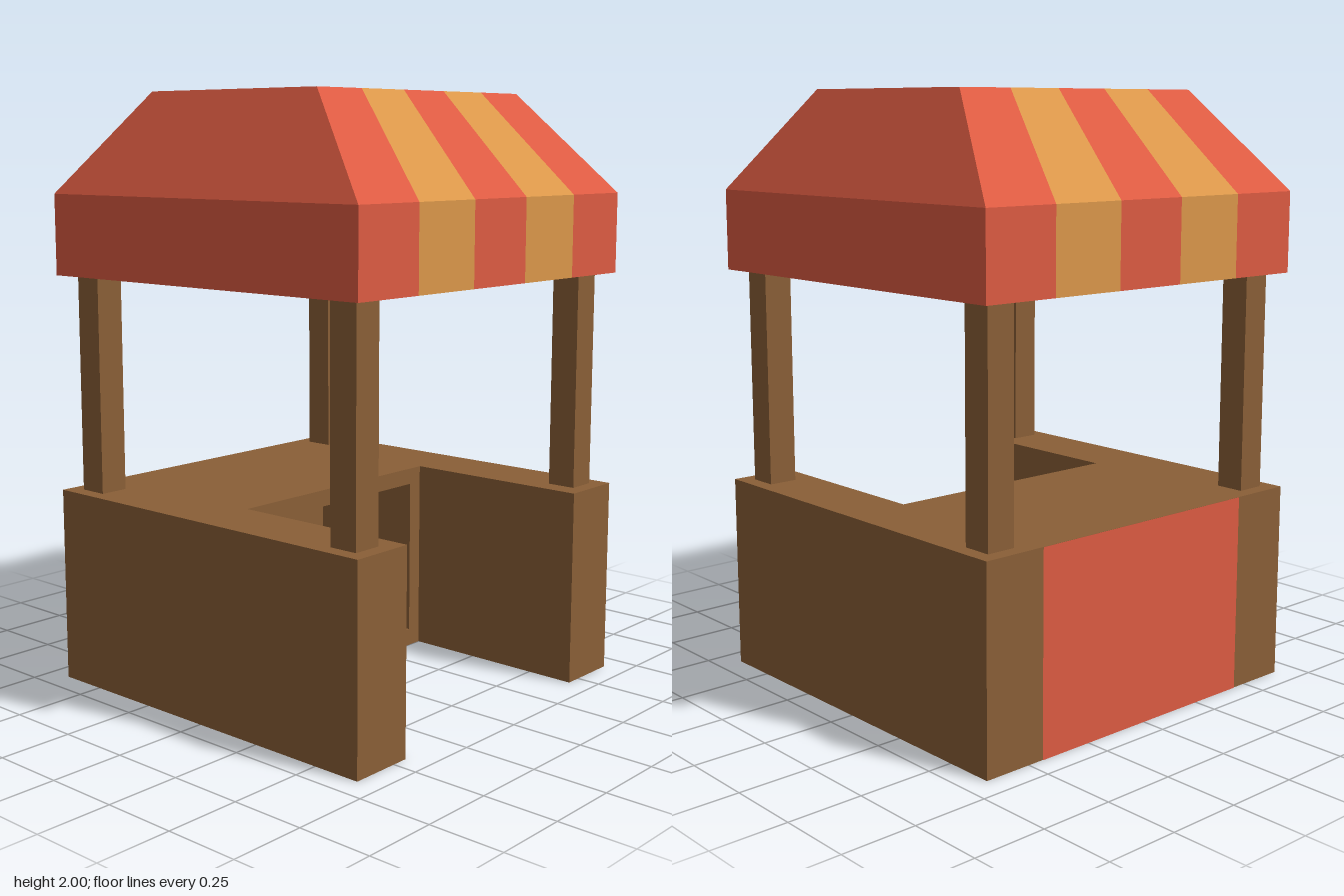
import * as THREE from 'three';

const RED = 0xdd5b42, YELLOW = 0xdb974a, WOOD = 0x8a5f37;
const HALF = 0.667, ARM = 0.222, COUNTER = 0.667;

const material = (color) => new THREE.MeshStandardMaterial({ color, flatShading: true });

function add(group, name, geometry, mat, x = 0, y = 0, z = 0) {
  const mesh = new THREE.Mesh(geometry, mat);
  mesh.name = name;
  mesh.position.set(x, y, z);
  group.add(mesh);
  return mesh;
}

// Flat quads, corners counter-clockwise seen from the front
function quadGeometry(quads) {
  const pos = quads.flatMap(([a, b, c, d]) => [a, b, c, a, c, d].flat());
  const g = new THREE.BufferGeometry();
  g.setAttribute('position', new THREE.Float32BufferAttribute(pos, 3));
  g.computeVertexNormals();
  return g;
}

function createCounter(wood, red) {
  const g = new THREE.Group();
  g.name = 'counter';
  const nicheDepth = 0.43;

  // Two side arms reaching forward
  for (const s of [-1, 1]) {
    add(g, s > 0 ? 'leftArm' : 'rightArm', new THREE.BoxGeometry(ARM, COUNTER, HALF), wood,
      s * (HALF - ARM / 2), COUNTER / 2, HALF / 2);
  }

  // Rear block with a storage niche open to the front
  const face = new THREE.Shape([[-HALF, 0], [HALF, 0], [HALF, COUNTER], [-HALF, COUNTER]]
    .map(([x, y]) => new THREE.Vector2(x, y)));
  face.holes.push(new THREE.Path([[-0.39, 0.06], [-0.39, 0.61], [0.39, 0.61], [0.39, 0.06]]
    .map(([x, y]) => new THREE.Vector2(x, y))));
  add(g, 'shelfNiche', new THREE.ExtrudeGeometry(face, { depth: nicheDepth, bevelEnabled: false }), wood,
    0, 0, -nicheDepth);
  const backDepth = HALF - nicheDepth;
  add(g, 'backWall', new THREE.BoxGeometry(2 * HALF, COUNTER, backDepth), wood,
    0, COUNTER / 2, -HALF + backDepth / 2);

  // Painted panel on the outside of the back
  add(g, 'backPanel', new THREE.PlaneGeometry(2 * (HALF - ARM), COUNTER), red,
    0, COUNTER / 2, -HALF - 0.002).rotation.y = Math.PI;
  return g;
}

function createCanopy(red, yellow) {
  const g = new THREE.Group();
  g.name = 'canopy';
  // Rings from the inner ceiling, round the lower rim, up to the roof: half width, height, half depth
  const rings = [
    [0.44, 1.67, 0.44],
    [0.517, 1.4, 0.517],
    [HALF, 1.4, HALF],
    [HALF, 1.67, HALF],
    [0.5, 2, 0.36],
  ];
  const stripes = [-1, -0.6, -0.2, 0.2, 0.6, 1];
  const redQuads = [], yellowQuads = [];
  const point = ([w, y, d], u, v) => [w * u, y, d * v];

  for (let k = 0; k < 5; k++) {
    const u0 = stripes[k], u1 = stripes[k + 1];
    const out = k % 2 ? yellowQuads : redQuads;
    // Front and back strips
    for (let i = 0; i < rings.length - 1; i++) {
      const a = rings[i], b = rings[i + 1];
      out.push([point(a, u0, 1), point(a, u1, 1), point(b, u1, 1), point(b, u0, 1)]);
      out.push([point(a, u1, -1), point(a, u0, -1), point(b, u0, -1), point(b, u1, -1)]);
    }
    // Roof top and ceiling
    const top = rings[4], ceil = rings[0];
    out.push([point(top, u0, 1), point(top, u1, 1), point(top, u1, -1), point(top, u0, -1)]);
    out.push([point(ceil, u0, -1), point(ceil, u1, -1), point(ceil, u1, 1), point(ceil, u0, 1)]);
  }
  // Plain sides
  for (let i = 0; i < rings.length - 1; i++) {
    const a = rings[i], b = rings[i + 1];
    for (const s of [-1, 1]) {
      redQuads.push([point(a, s, s), point(a, s, -s), point(b, s, -s), point(b, s, s)]);
    }
  }
  add(g, 'canopyRed', quadGeometry(redQuads), red);
  add(g, 'canopyStripes', quadGeometry(yellowQuads), yellow);
  return g;
}

export function createModel() {
  const model = new THREE.Group();
  model.name = 'marketStall';
  const wood = material(WOOD), red = material(RED), yellow = material(YELLOW);

  model.add(createCounter(wood, red));

  // Corner posts
  const postHeight = 1.4 - COUNTER;
  for (const x of [-0.567, 0.567]) {
    for (const z of [-0.567, 0.567]) {
      add(model, 'post', new THREE.BoxGeometry(0.1, postHeight, 0.1), wood, x, COUNTER + postHeight / 2, z);
    }
  }

  model.add(createCanopy(red, yellow));
  return model;
}
